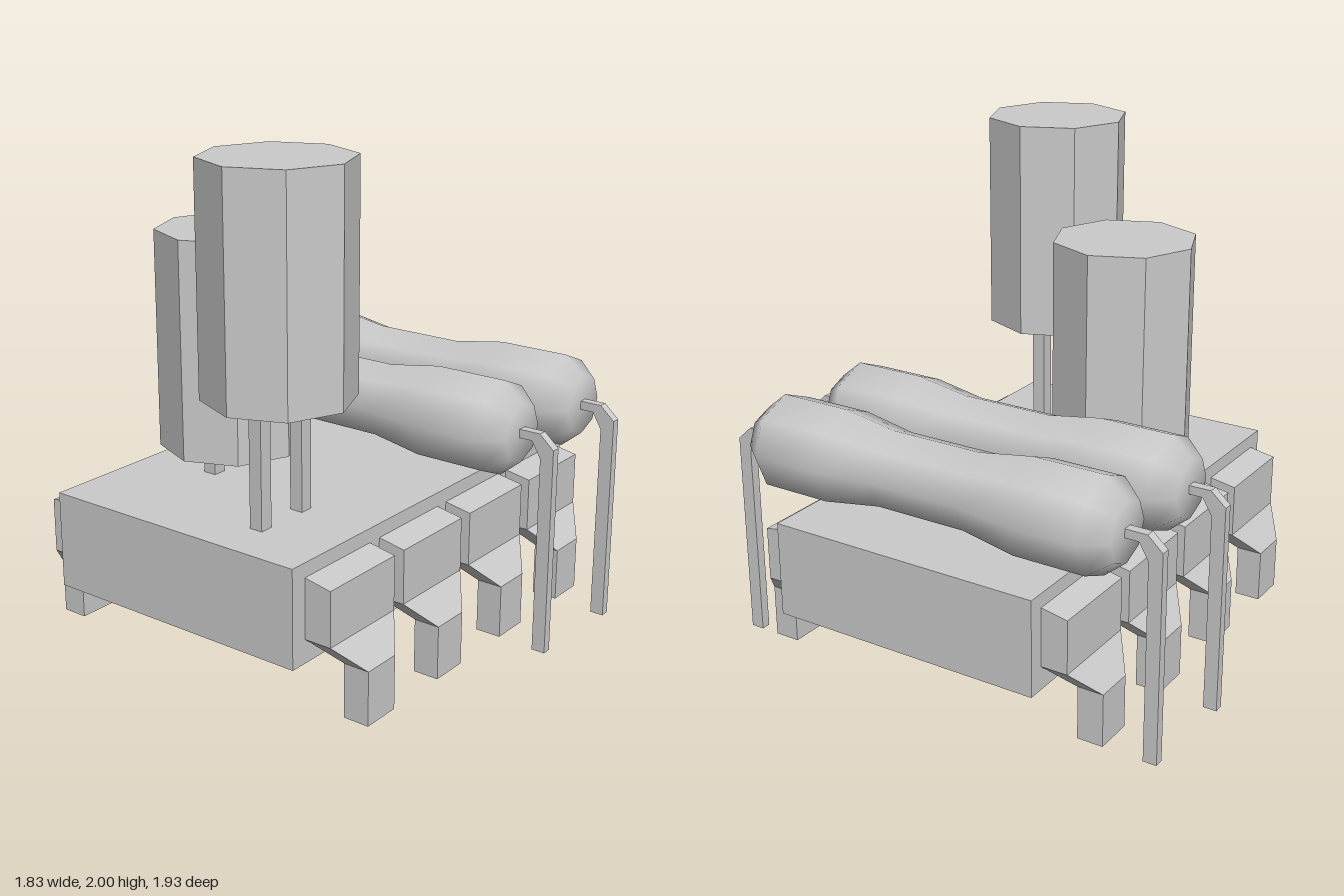
import * as THREE from 'three';

const grey = new THREE.MeshStandardMaterial({ color: 0xcccccc, flatShading: true, side: THREE.DoubleSide });
const smooth = new THREE.MeshStandardMaterial({ color: 0xcccccc });

function add(parent, name, geometry, material, x = 0, y = 0, z = 0) {
  const mesh = new THREE.Mesh(geometry, material);
  mesh.name = name;
  mesh.position.set(x, y, z);
  parent.add(mesh);
  return mesh;
}

// Chip pin: a box with four rows, each row narrowed and stepped outwards; open underneath
function pinGeometry() {
  const rows = [ // y, half width, inner z, outer z
    [0.045, 0.08, 0.659, 0.765],
    [0.26, 0.08, 0.659, 0.765],
    [0.37, 0.19, 0.57, 0.681],
    [0.605, 0.19, 0.57, 0.681],
  ];
  const box = new THREE.BoxGeometry(1, 1, 1, 1, 3, 1);
  const bottom = box.groups[3];
  const index = Array.from(box.index.array);
  index.splice(bottom.start, bottom.count);
  box.setIndex(index);
  box.clearGroups();
  const p = box.attributes.position;
  for (let i = 0; i < p.count; i++) {
    const row = Math.round((p.getY(i) + 0.5) * 3);
    const [y, half, inner, outer] = rows[row];
    const isOuter = p.getZ(i) > 0;
    const drop = row === 3 && isOuter ? 0.02 : 0;
    p.setXYZ(i, Math.sign(p.getX(i)) * half, y - drop, isOuter ? outer : inner);
  }
  const geometry = box.toNonIndexed();
  geometry.computeVertexNormals();
  return geometry;
}

// Bent wire: side outline (z, y) given a thickness along x
function wireGeometry() {
  const outline = [
    [0.77, 0.9], [0.893, 0.9], [0.954, 0.845], [0.954, 0],
    [0.898, 0], [0.898, 0.8], [0.86, 0.865], [0.77, 0.865],
  ].map(([z, y]) => new THREE.Vector2(z, y));
  const geometry = new THREE.ExtrudeGeometry(new THREE.Shape(outline), { depth: 0.038, bevelEnabled: false });
  geometry.translate(0, 0, -0.019);
  geometry.rotateY(-Math.PI / 2);
  return geometry;
}

// Resistor body: eight-sided waisted lathe lying along z
function resistorGeometry() {
  const profile = [
    [0, -0.804], [0.12, -0.804], [0.193, -0.715], [0.193, -0.42], [0.156, -0.19],
    [0.156, 0.19], [0.193, 0.42], [0.193, 0.715], [0.12, 0.804], [0, 0.804],
  ].map(([r, y]) => new THREE.Vector2(r, y));
  const geometry = new THREE.LatheGeometry(profile, 8);
  geometry.rotateX(Math.PI / 2);
  return geometry;
}

export function createModel() {
  const model = new THREE.Group();
  model.name = 'chipWithComponents';

  // Chip body
  add(model, 'chipBody', new THREE.BoxGeometry(1.825, 0.385, 1.142), grey, 0, 0.468, 0.007);

  // Four pins along each long side
  const pin = pinGeometry();
  for (const side of [0, 1]) {
    const row = new THREE.Group();
    row.name = side ? 'backPins' : 'frontPins';
    row.position.z = 0.009;
    for (const x of [-0.655, -0.217, 0.221, 0.659]) {
      add(row, 'pin', pin, grey, x).rotation.y = side * Math.PI;
    }
    model.add(row);
  }

  // Octagonal capacitors on two square leads
  const can = new THREE.CylinderGeometry(0.288, 0.288, 0.872, 8);
  for (const [x, base, z] of [[-0.586, 1.128, 0.26], [-0.261, 0.753, -0.25]]) {
    const capacitor = new THREE.Group();
    capacitor.name = 'capacitor';
    capacitor.position.set(x, 0, z);
    add(capacitor, 'capacitorCan', can, grey, 0, base + 0.436, 0);
    const height = base - 0.64;
    const lead = new THREE.BoxGeometry(0.055, height, 0.055);
    for (const s of [-1, 1]) {
      add(capacitor, 'capacitorLead', lead, grey, s * 0.116, 0.64 + height / 2, 0.003);
    }
    model.add(capacitor);
  }

  // Resistors with a bent wire at each end
  const body = resistorGeometry();
  const wire = wireGeometry();
  for (const [x, z] of [[0.223, -0.012], [0.662, 0.008]]) {
    const resistor = new THREE.Group();
    resistor.name = 'resistor';
    resistor.position.set(x, 0, z);
    add(resistor, 'resistorBody', body, smooth, 0, 0.881, 0);
    add(resistor, 'frontWire', wire, grey);
    add(resistor, 'backWire', wire, grey).rotation.y = Math.PI;
    model.add(resistor);
  }

  return model;
}
